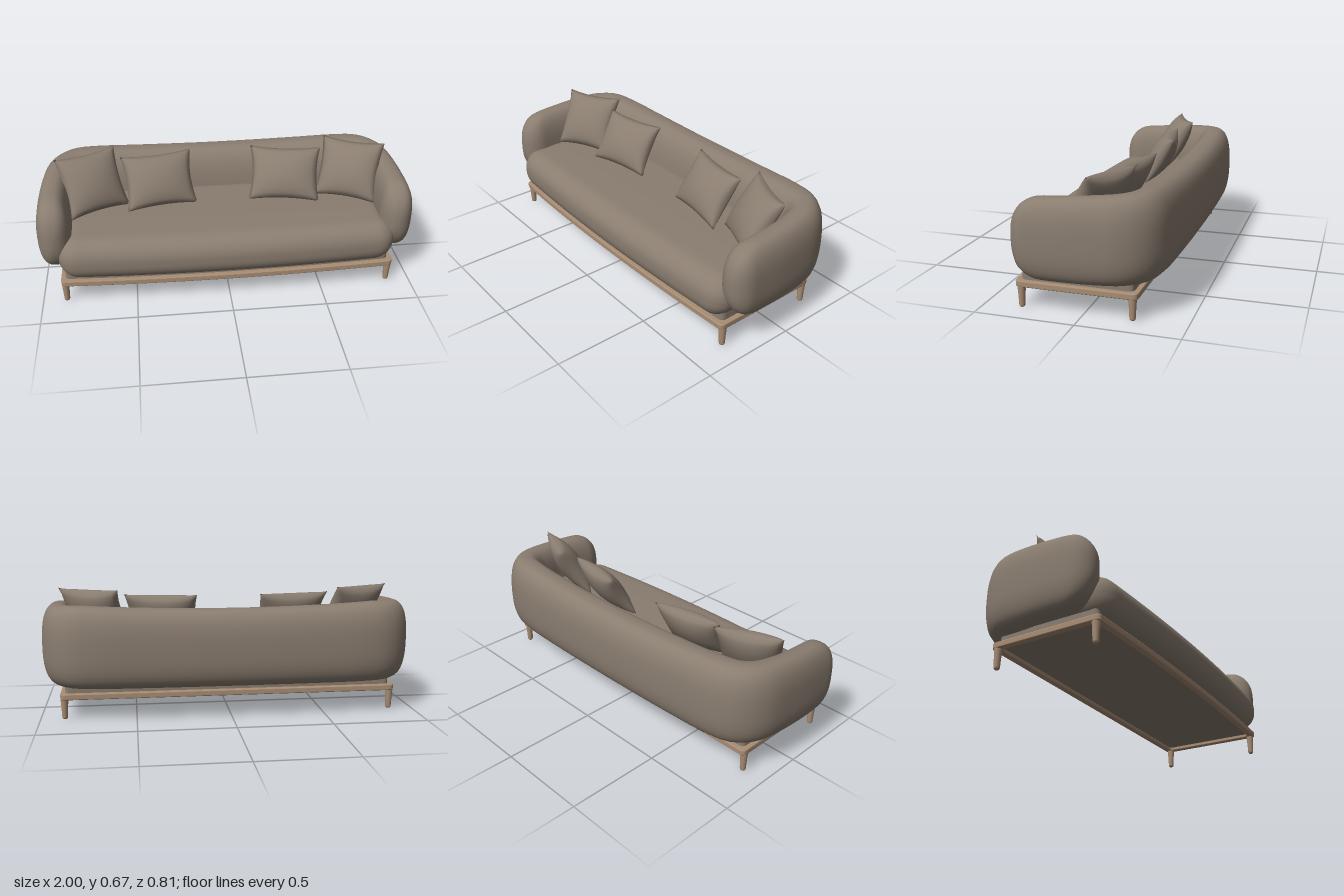
import * as THREE from 'three';
import { mergeVertices } from 'three/addons/utils/BufferGeometryUtils.js';

const clamp = THREE.MathUtils.clamp;

// Moves every vertex of a geometry by a rule, then smooths the normals
function reshape(geometry, rule) {
  geometry.deleteAttribute('uv');
  geometry.deleteAttribute('normal');
  const pos = geometry.attributes.position;
  const p = new THREE.Vector3();
  for (let i = 0; i < pos.count; i++) {
    p.fromBufferAttribute(pos, i);
    rule(p);
    pos.setXYZ(i, p.x, p.y, p.z);
  }
  const merged = mergeVertices(geometry, 1e-5);
  merged.computeVertexNormals();
  return merged;
}

// Soft box with rounded edges and a bowed front
function seatGeometry() {
  const half = new THREE.Vector3(0.9, 0.117, 0.32);
  const r = 0.1;
  const inner = half.clone().subScalar(r);
  const core = new THREE.Vector3();
  return reshape(new THREE.BoxGeometry(1.8, 0.234, 0.64, 72, 16, 32), (p) => {
    core.copy(p).clamp(inner.clone().negate(), inner);
    p.sub(core).normalize().multiplyScalar(r).add(core);
    const u = p.x / half.x;
    const front = clamp(p.z / half.z, 0, 1);
    p.z += front * (0.012 - 0.035 * u * u);
    if (p.y < 0) p.x *= 1 + 0.12 * p.y;
    if (p.y > 0) p.y += 0.006 * (1 - u * u) - 0.012 * front * front;
  });
}

// Pincushion pillow: full in the middle, thin at the seam, pointed corners
function pillowGeometry(w, h, depth) {
  return reshape(new THREE.BoxGeometry(2, 2, 2, 24, 24, 1), (p) => {
    const u = p.x, v = p.y;
    const fill = Math.max(0, (1 - u * u) * (1 - v * v));
    p.x = (w / 2) * u * (1 - 0.09 * (1 - v * v));
    p.y = (h / 2) * v * (1 - 0.09 * (1 - u * u));
    p.z = Math.sign(p.z) * (depth / 2) * Math.pow(fill, 0.5);
  });
}

// Back and arms: one padded section swept round a U, closing in at both ends
function wrapGeometry() {
  const side = [
    [0.45, -0.297], [0.7, -0.285], [0.81, -0.26], [0.875, -0.19],
    [0.903, -0.08], [0.913, 0.05], [0.912, 0.2], [0.905, 0.33],
  ];
  const points = [
    ...side.slice().reverse().map(([x, z]) => new THREE.Vector3(-x, 0, z)),
    new THREE.Vector3(0, 0, -0.302),
    ...side.map(([x, z]) => new THREE.Vector3(x, 0, z)),
  ];
  const path = new THREE.CatmullRomCurve3(points);
  path.arcLengthDivisions = 800;
  const length = path.getLength();
  const rings = 120, sides = 44;
  const soft = (c, e) => Math.sign(c) * Math.pow(Math.abs(c), e);
  const close = (d, reach, e) =>
    Math.max(0.002, Math.pow(1 - Math.pow(1 - Math.min(1, d / reach), e), 1 / e));
  const positions = [], index = [];

  for (let i = 0; i <= rings; i++) {
    const t = (1 - Math.cos((Math.PI * i) / rings)) / 2;
    const c = path.getPointAt(t);
    const tan = path.getTangentAt(t);
    const d = Math.min(t, 1 - t) * length;
    const arm = clamp((c.z + 0.29) / 0.25, 0, 1);
    const top = 0.58 + 0.022 * Math.min(1, (c.x / 0.75) ** 2)
      - 0.036 * clamp((c.z + 0.3) / 0.5, 0, 1);
    const bottom = 0.172;
    const mid = 0.37 + ((top + bottom) / 2 - 0.37) * clamp(d / 0.16, 0, 1);
    const b = ((top - bottom) / 2) * close(d, 0.16, 2.3);
    const shrink = close(d, 0.1, 2);
    const a = (0.102 - 0.016 * arm) * shrink;
    const lean = (0.055 - 0.045 * arm) * shrink;
    for (let j = 0; j < sides; j++) {
      const angle = (j / sides) * Math.PI * 2;
      const cos = soft(Math.cos(angle), 0.75), sin = soft(Math.sin(angle), 0.75);
      const u = a * cos - lean * Math.max(0, -cos) * (1 - sin) * 0.5;
      positions.push(c.x + tan.z * u, mid + b * sin, c.z - tan.x * u);
      if (i < rings) {
        const k = (j + 1) % sides;
        const p = i * sides + j, q = i * sides + k;
        index.push(p, q, p + sides, q, q + sides, p + sides);
      }
    }
  }
  const geometry = new THREE.BufferGeometry();
  geometry.setAttribute('position', new THREE.Float32BufferAttribute(positions, 3));
  geometry.setIndex(index);
  geometry.computeVertexNormals();
  return geometry;
}

// Plan outline of the wooden frame, with a slightly bowed front (shape y = -z)
function outline(Target, inset) {
  const x = 0.895 - inset, back = 0.268 - inset, front = -0.34 + inset, r = 0.03;
  const s = new Target();
  s.moveTo(-x + r, back);
  s.quadraticCurveTo(-x, back, -x, back - r);
  s.lineTo(-x, front + r);
  s.quadraticCurveTo(-x, front, -x + r, front);
  s.quadraticCurveTo(0, front - 0.05, x - r, front);
  s.quadraticCurveTo(x, front, x, front + r);
  s.lineTo(x, back - r);
  s.quadraticCurveTo(x, back, x - r, back);
  s.closePath();
  return s;
}

function slab(shape, y, height, bevel) {
  const geometry = new THREE.ExtrudeGeometry(shape, {
    depth: height - 2 * bevel, curveSegments: 16, bevelEnabled: bevel > 0,
    bevelSize: bevel, bevelThickness: bevel, bevelOffset: -bevel, bevelSegments: 3,
  });
  geometry.rotateX(-Math.PI / 2);
  geometry.translate(0, y + bevel, 0);
  return geometry;
}

export function createModel() {
  const model = new THREE.Group();
  model.name = 'sofa';
  const fabric = new THREE.MeshStandardMaterial({ color: 0x8a7d70 });
  fabric.name = 'taupe fabric';
  const wood = new THREE.MeshStandardMaterial({ color: 0xa88d74 });
  wood.name = 'light wood';

  const add = (name, geometry, material) => {
    const mesh = new THREE.Mesh(geometry, material);
    mesh.name = name;
    model.add(mesh);
    return mesh;
  };

  // Upholstery
  add('backAndArms', wrapGeometry(), fabric);
  add('seatCushion', seatGeometry(), fabric).position.set(0, 0.258, 0.07);
  add('seatBase', slab(outline(THREE.Shape, 0.025), 0.125, 0.075, 0.005), fabric);

  // Wooden frame
  const rail = outline(THREE.Shape, 0);
  rail.holes.push(outline(THREE.Path, 0.035));
  add('frame', slab(rail, 0.106, 0.032, 0.006), wood);

  // Tapered legs with rounded feet
  const legProfile = [
    [0, 0], [0.008, 0.001], [0.013, 0.005], [0.015, 0.012],
    [0.017, 0.06], [0.02, 0.1], [0.021, 0.132], [0, 0.134],
  ].map(([x, y]) => new THREE.Vector2(x, y));
  const legGeometry = new THREE.LatheGeometry(legProfile, 20);
  for (const [end, z] of [['front', 0.311], ['back', -0.239]]) {
    for (const [side, s] of [['Left', 1], ['Right', -1]]) {
      add(`${end}${side}Leg`, legGeometry, wood).position.set(s * 0.874, 0, z);
    }
  }

  // Pillows leaning back and turned towards the middle
  const innerPillow = pillowGeometry(0.39, 0.3, 0.13);
  const outerPillow = pillowGeometry(0.345, 0.335, 0.14);
  for (const [side, s] of [['Left', 1], ['Right', -1]]) {
    const inner = add(`inner${side}Pillow`, innerPillow, fabric);
    inner.position.set(s * 0.348, 0.505, -0.045);
    inner.rotation.set(-0.56, -s * 0.17, 0, 'YXZ');
    const outer = add(`outer${side}Pillow`, outerPillow, fabric);
    outer.position.set(s * 0.708, 0.522, -0.025);
    outer.rotation.set(-0.54, -s * 0.43, 0, 'YXZ');
  }
  return model;
}
